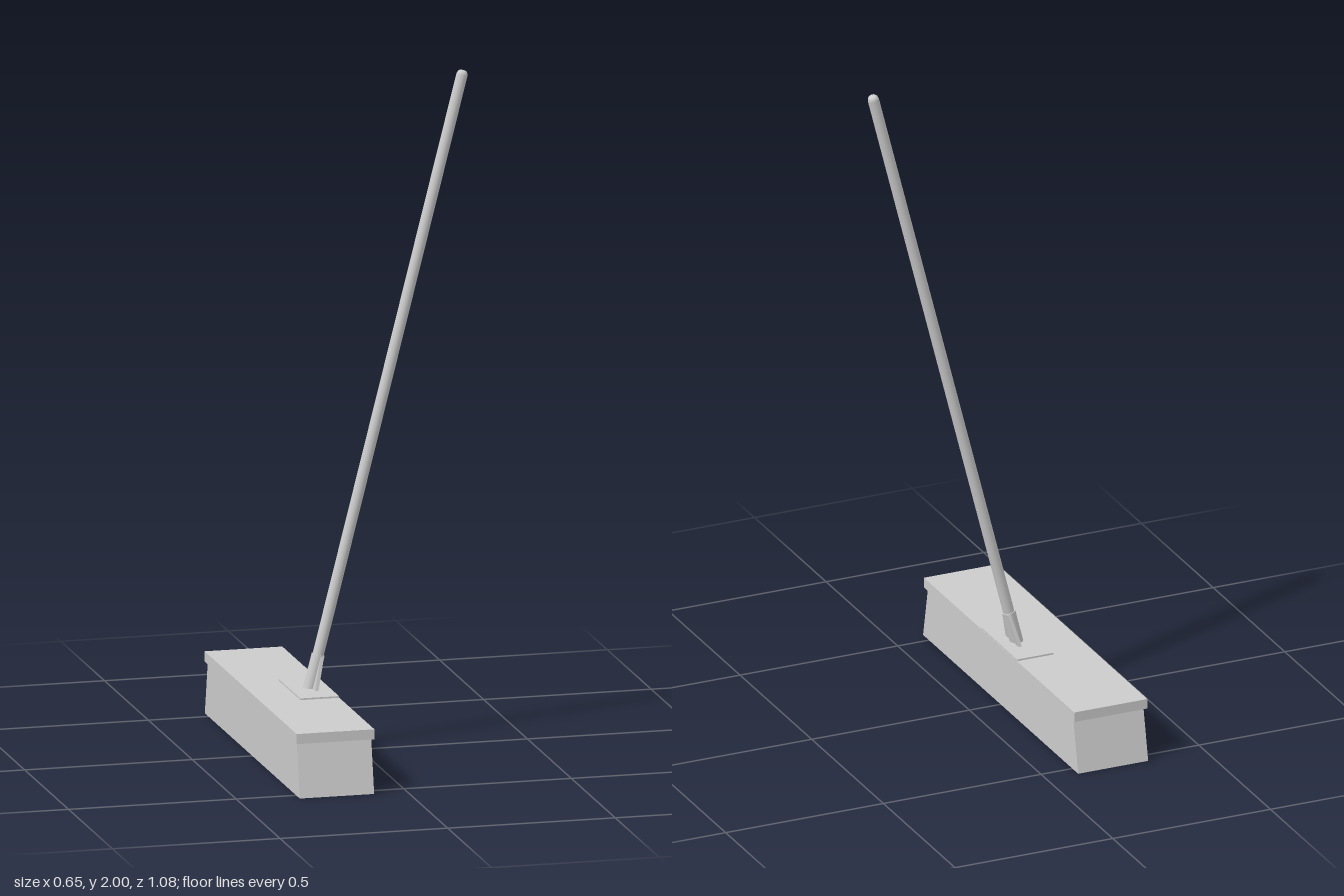
import * as THREE from 'three';

const grey = new THREE.MeshStandardMaterial({ color: 0xcccccc });
const HEAD_X = -0.21;

function add(parent, name, geometry, x = 0, y = 0, z = 0) {
  const mesh = new THREE.Mesh(geometry, grey);
  mesh.name = name;
  mesh.position.set(x, y, z);
  parent.add(mesh);
  return mesh;
}

// Flat outline pushed out to a depth, centred on its own z
function slab(points, depth) {
  const shape = new THREE.Shape(points.map(([x, y]) => new THREE.Vector2(x, y)));
  return new THREE.ExtrudeGeometry(shape, { depth, bevelEnabled: false }).translate(0, 0, -depth / 2);
}

export function createModel() {
  const broom = new THREE.Group();
  broom.name = 'pushBroom';

  // Wooden head
  add(broom, 'headBoard', new THREE.BoxGeometry(0.232, 0.03, 1.05), HEAD_X, 0.173);

  // Bristle block, flaring towards the floor at both ends
  const bristles = slab([[-0.541, 0], [0.541, 0], [0.507, 0.16], [-0.507, 0.16]], 0.222);
  add(broom, 'bristles', bristles.rotateY(Math.PI / 2), HEAD_X);

  // Mounting plate on the handle side of the head
  add(broom, 'mountingPlate', new THREE.BoxGeometry(0.115, 0.006, 0.25), -0.1525, 0.19);

  // Leaning handle with its socket and side fins
  const handle = new THREE.Group();
  handle.name = 'handleAssembly';
  handle.position.set(-0.15, 0.188, 0);
  handle.rotation.z = -Math.atan(0.253);
  broom.add(handle);

  const length = 1.867;
  const profile = [[0.0165, 0], [0.0165, length - 0.014], [0.0145, length - 0.006], [0.01, length - 0.001], [0, length]];
  add(handle, 'handle', new THREE.LatheGeometry(profile.map(([r, y]) => new THREE.Vector2(r, y)), 24));
  add(handle, 'socket', new THREE.CylinderGeometry(0.0195, 0.0195, 0.11, 24), 0, 0.05);

  for (const side of [1, -1]) {
    const fin = slab([[0, -0.003], [0.049, -0.003], [0.02, 0.104], [0, 0.104]], 0.01);
    add(handle, side > 0 ? 'frontFin' : 'backFin', fin.rotateY(-side * Math.PI / 2), 0.008);
  }
  return broom;
}
